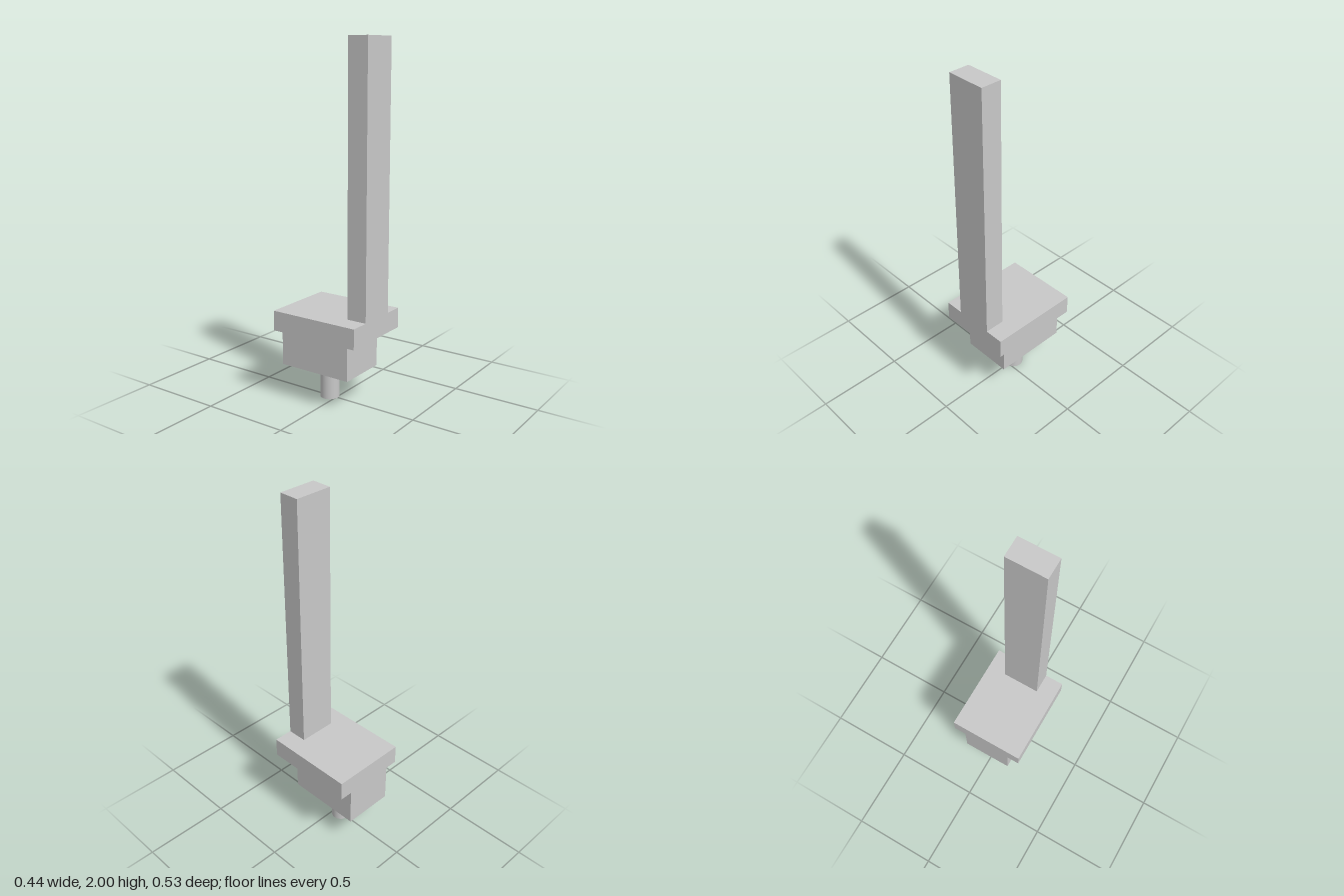
import * as THREE from 'three';

export function createModel() {
  const model = new THREE.Group();
  const grey = new THREE.MeshStandardMaterial({ color: 0xc8c8c8 });
  grey.name = 'light grey';

  const add = (name, geometry, x, y, z) => {
    const mesh = new THREE.Mesh(geometry, grey);
    mesh.name = name;
    mesh.position.set(x, y, z);
    model.add(mesh);
  };

  // Box given by its width and its bottom, top, back and front limits
  const addBox = (name, width, y0, y1, z0, z1) =>
    add(name, new THREE.BoxGeometry(width, y1 - y0, z1 - z0), 0, (y0 + y1) / 2, (z0 + z1) / 2);

  // Round peg under the block
  add('peg', new THREE.CylinderGeometry(0.055, 0.055, 0.187, 48), 0, 0.0935, -0.045);

  // Block, flush with the back of the plate
  addBox('block', 0.294, 0.187, 0.41, -0.267, 0.175);

  // Wide plate
  addBox('plate', 0.442, 0.41, 0.524, -0.267, 0.267);

  // Tall post, flush with the front of the plate
  addBox('post', 0.22, 0.524, 2, 0.15, 0.267);

  return model;
}
